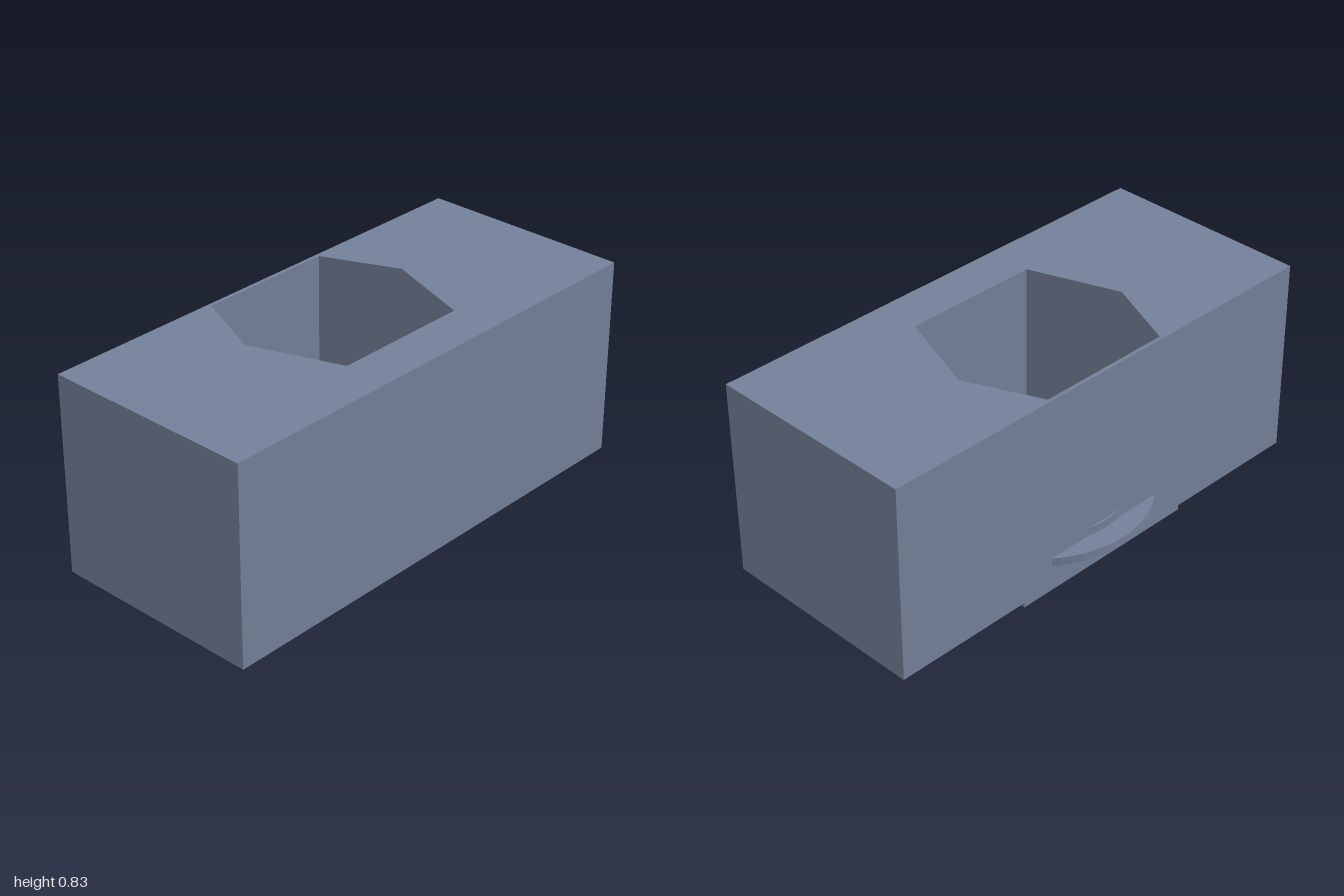
import * as THREE from 'three';

const CZ = -0.04; // z of the collar axis
const V = (x, z) => new THREE.Vector2(x, -z);

export function createModel() {
  const group = new THREE.Group();
  const slate = new THREE.MeshStandardMaterial({ color: 0x748099 });
  slate.name = 'slate';

  const add = (name, geometry) => {
    const mesh = new THREE.Mesh(geometry, slate);
    mesh.name = name;
    group.add(mesh);
    return mesh;
  };
  // Extrude a plan outline (x, z) upward between two heights
  const slab = (name, shape, y0, y1) => {
    const g = new THREE.ExtrudeGeometry(shape, { depth: y1 - y0, bevelEnabled: false, curveSegments: 32 });
    g.rotateX(-Math.PI / 2).translate(0, y0, 0);
    return add(name, g);
  };
  const box = (name, x0, x1, y0, y1, z0, z1) => {
    const g = new THREE.BoxGeometry(x1 - x0, y1 - y0, z1 - z0);
    g.translate((x0 + x1) / 2, (y0 + y1) / 2, (z0 + z1) / 2);
    return add(name, g);
  };
  const outline = (hole) => {
    const s = new THREE.Shape([V(-1, 0.48), V(1, 0.48), V(1, -0.39), V(-1, -0.39)]);
    s.holes.push(new THREE.Path(hole));
    return s;
  };
  // Band between two radii, over an angle range (0 = +x, positive toward +z)
  const band = (cx, cz, rIn, rOut, a0, a1, n = 32) => {
    const pts = [];
    const at = (r, i) => {
      const a = a0 + ((a1 - a0) * i) / n;
      return V(cx + r * Math.cos(a), cz + r * Math.sin(a));
    };
    for (let i = 0; i <= n; i++) pts.push(at(rOut, i));
    for (let i = n; i >= 0; i--) pts.push(at(rIn, i));
    return new THREE.Shape(pts);
  };
  const ring = (rIn, rOut) => {
    const s = new THREE.Shape();
    s.absarc(0, -CZ, rOut, 0, Math.PI * 2);
    const h = new THREE.Path();
    h.absarc(0, -CZ, rIn, 0, Math.PI * 2, true);
    s.holes.push(h);
    return s;
  };

  // Main block with the six-sided well
  slab('mainBlock', outline([
    V(0.415, -0.07), V(0.285, -0.375), V(-0.285, -0.375),
    V(-0.415, -0.07), V(-0.285, 0.295), V(0.285, 0.295),
  ]), 0.145, 0.83);

  // Lower frame around the underside recess, with a deeper notch at the front
  slab('lowerFrame', outline([
    V(0.925, -0.375), V(-0.925, -0.375), V(-0.925, 0.28), V(-0.415, 0.28),
    V(-0.415, 0.465), V(0.415, 0.465), V(0.415, 0.28), V(0.925, 0.28),
  ]), 0.02, 0.145);

  // Tab under the back wall
  box('backTab', -0.415, 0.415, 0, 0.02, -0.39, -0.375);

  // Collar and its flange, which both break through the back wall
  slab('collar', ring(0.31, 0.36), 0.075, 0.178);
  slab('collarFlange', ring(0.335, 0.445), 0.11, 0.1445);

  for (const s of [1, -1]) {
    const side = s > 0 ? 'left' : 'right';
    const span = (name, x0, x1, ...rest) => box(side + name, Math.min(s * x0, s * x1), Math.max(s * x0, s * x1), ...rest);
    const angles = (a0, a1) => (s > 0 ? [a0, a1] : [Math.PI - a1, Math.PI - a0]);

    // Rail beside the collar, with a small spring loop
    span('Rail', 0.29, 0.315, 0.03, 0.075, -0.33, 0.29);
    slab(side + 'SpringLoop', band(s * 0.315, 0.14, 0.05, 0.065, ...angles(-Math.PI / 2, Math.PI / 2), 16), 0.04, 0.11);

    // Curved guard wall
    slab(side + 'GuardWall', band(0, CZ, 0.535, 0.55, ...angles(-0.65, 0.98)), 0.05, 0.145);

    // Paired ribs toward the end of the block
    for (const z of [-0.2, 0]) {
      for (const d of [-0.025, 0.025]) {
        span('Rib', 0.54, 0.83, 0.07, 0.145, z + d - 0.008, z + d + 0.008);
      }
    }
  }
  return group;
}
